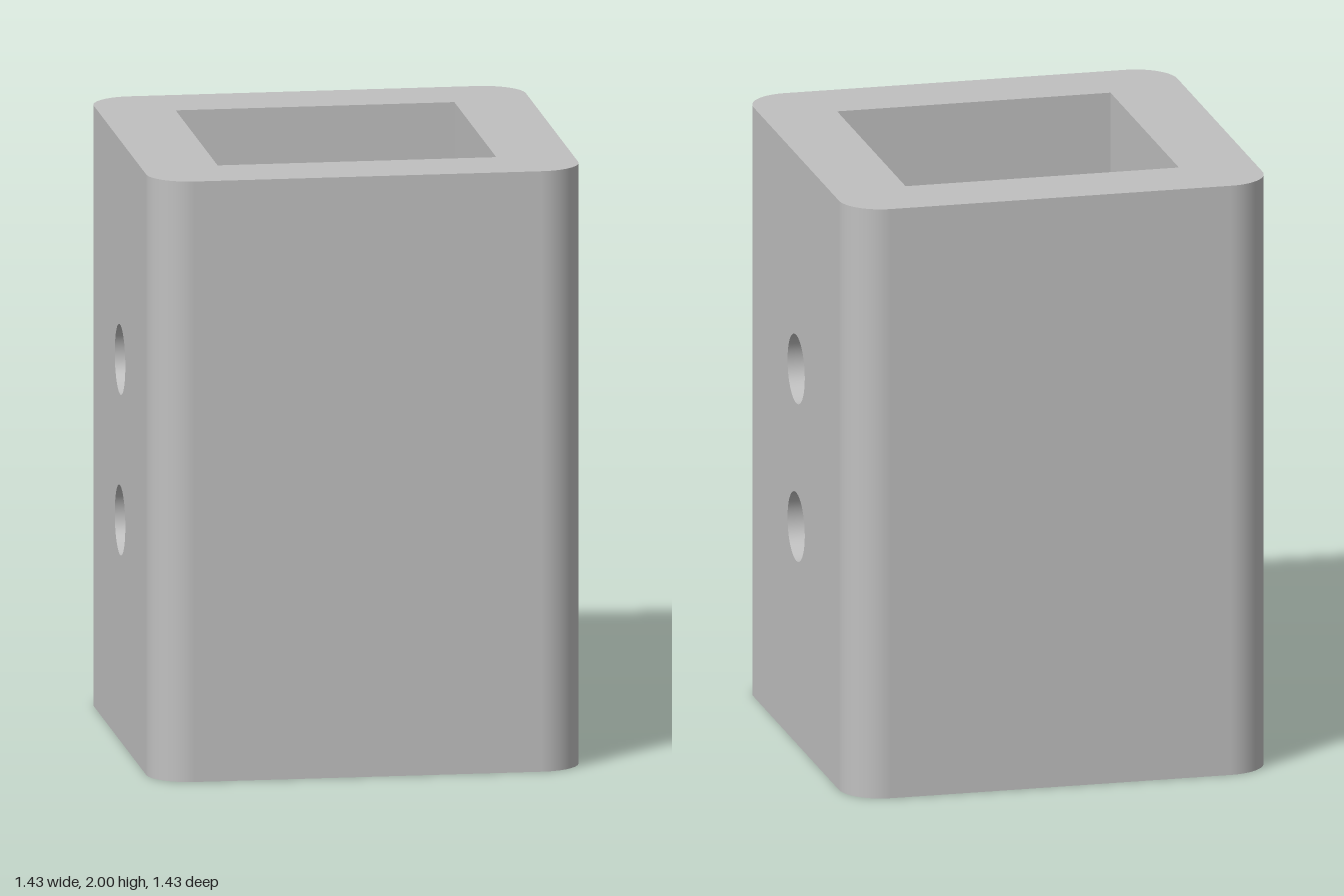
import * as THREE from 'three';

const HEIGHT = 2;
const OUTER = 0.713;          // half width of the tube
const INNER = 0.46;           // half width of the square opening
const RADIUS = 0.14;          // outer corner radius
const FLAT = OUTER - RADIUS;  // half width of each flat outer face
const HOLE_R = 0.116;
const HOLE_Y = [0.735, 1.27];

const rectangle = (Target, half, y0, y1) => new Target([
  new THREE.Vector2(-half, y0), new THREE.Vector2(half, y0),
  new THREE.Vector2(half, y1), new THREE.Vector2(-half, y1),
]);

// Upright wall face; a negative distance gives a face looking inward
function wallFace(half, distance, drilled) {
  const shape = rectangle(THREE.Shape, half, 0, HEIGHT);
  if (drilled) {
    for (const y of HOLE_Y) {
      shape.holes.push(new THREE.Path().absarc(0, y, HOLE_R, 0, Math.PI * 2, true));
    }
  }
  return new THREE.ShapeGeometry(shape, 24).translate(0, 0, distance);
}

// Rounded square ring with a square opening, facing up
function rimGeometry() {
  const s = new THREE.Shape();
  for (let i = 0; i < 4; i++) {
    const a = i * Math.PI / 2;
    const cx = (i === 0 || i === 3) ? FLAT : -FLAT;
    const cy = i < 2 ? FLAT : -FLAT;
    s.absarc(cx, cy, RADIUS, a, a + Math.PI / 2, false);
  }
  s.closePath();
  s.holes.push(rectangle(THREE.Path, INNER, -INNER, INNER));
  return new THREE.ShapeGeometry(s, 16).rotateX(-Math.PI / 2);
}

export function createModel() {
  const model = new THREE.Group();
  model.name = 'squareTube';
  const grey = new THREE.MeshStandardMaterial({ color: 0xc0c0c0 });
  grey.name = 'grey';

  const add = (name, geometry) => {
    const mesh = new THREE.Mesh(geometry, grey);
    mesh.name = name;
    model.add(mesh);
    return mesh;
  };

  // Four sides: outer face, inner face and rounded corner; left and right are drilled
  ['front', 'left', 'back', 'right'].forEach((side, i) => {
    const angle = i * Math.PI / 2;
    const drilled = i % 2 === 1;
    add(side + 'OuterWall', wallFace(FLAT, OUTER, drilled).rotateY(angle));
    add(side + 'InnerWall', wallFace(INNER, -INNER, drilled).rotateY(angle));
    const corner = new THREE.CylinderGeometry(RADIUS, RADIUS, HEIGHT, 16, 1, true, 0, Math.PI / 2);
    add(side + 'Corner', corner.translate(FLAT, HEIGHT / 2, FLAT).rotateY(angle));
  });

  // End rims
  add('topRim', rimGeometry().translate(0, HEIGHT, 0));
  add('bottomRim', rimGeometry().rotateX(Math.PI));

  // Pin holes: profile runs downward so the bore faces inward
  for (const sign of [-1, 1]) {
    for (const y of HOLE_Y) {
      const half = (OUTER - INNER) / 2;
      const bore = new THREE.LatheGeometry(
        [new THREE.Vector2(HOLE_R, half), new THREE.Vector2(HOLE_R, -half)], 48);
      bore.rotateZ(Math.PI / 2).translate(sign * (OUTER + INNER) / 2, y, 0);
      add(sign > 0 ? 'leftPinHole' : 'rightPinHole', bore);
    }
  }
  return model;
}
